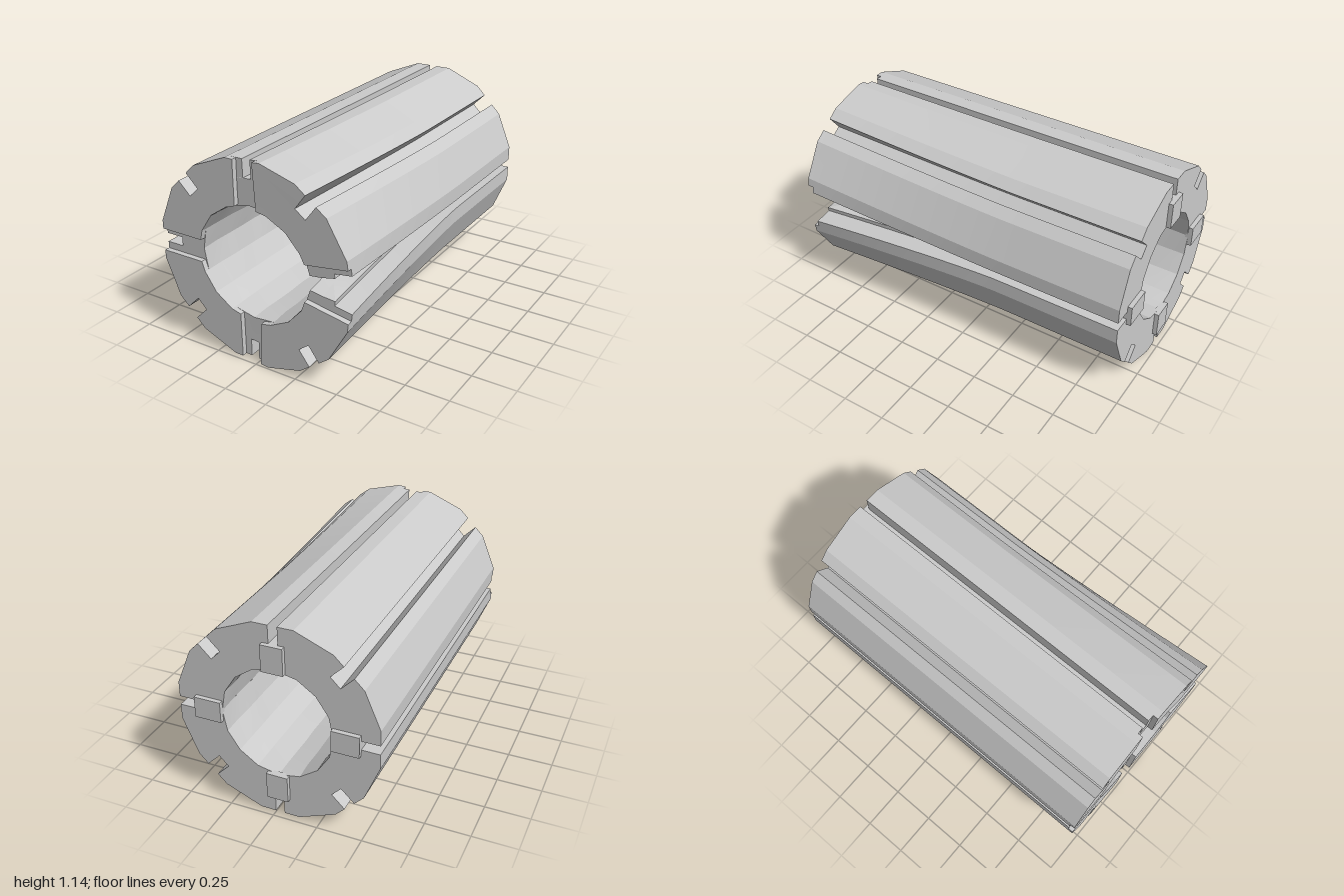
import * as THREE from 'three';
import { toCreasedNormals } from 'three/addons/utils/BufferGeometryUtils.js';

const CX = -0.03, CY = 0.57;             // axis of the sleeve
const R = 0.566, BORE = 0.31, FLOOR = 0.455; // outer corner, bore and groove floor radii
const FLAT = R * Math.cos(Math.PI / 16), EDGE = R * Math.sin(Math.PI / 16);
const BACK = -0.975, STEP = 0.957, FRONT = 0.987;
const E = 1e-4;                          // half width of the closed split
const S = Math.SQRT1_2;

const material = new THREE.MeshStandardMaterial({ color: 0xcccccc });
const polar = (r, deg) => [r * Math.cos(deg * Math.PI / 180), r * Math.sin(deg * Math.PI / 180)];
const quarterTurn = ([x, y], n) => { for (let i = 0; i < n; i++) [x, y] = [-y, x]; return [x, y]; };
const toShape = pts => new THREE.Shape(pts.map(p => new THREE.Vector2(...p)));

// outer outline of one quadrant, with the wide groove at 45 degrees
function quadrantOutline() {
  const onDiagonal = (r, off) => [(r - off) * S, (r + off) * S];
  const w = 0.037;
  return [
    [FLAT, EDGE], polar(R, 33.75),
    onDiagonal(FLAT, -w), onDiagonal(FLOOR, -w), onDiagonal(FLOOR, w), onDiagonal(FLAT, w),
    polar(R, 56.25), [EDGE, FLAT],
  ];
}

// whole section: grooved ring, split along +x
function ringShape() {
  const g = 0.025;
  const quadrant = [[FLOOR, g], [FLAT, g], ...quadrantOutline(), [g, FLAT], [g, FLOOR]];
  const pts = [[BORE, E], [0.38, E], [FLOOR, E]];
  for (let q = 0; q < 4; q++) pts.push(...quadrant.map(p => quarterTurn(p, q)));
  pts.push([FLOOR, -E], [0.38, -E], [BORE, -E]);
  for (let a = 337.5; a > 1; a -= 22.5) pts.push(polar(BORE, a));
  return toShape(pts);
}

// raised front land between two keyways
function landShape(q) {
  const k = 0.063, inner = Math.sqrt(BORE * BORE - k * k);
  const pts = [[inner, k], [FLAT, k], ...quadrantOutline(), [k, FLAT], [k, inner],
    polar(BORE, 67.5), polar(BORE, 45), polar(BORE, 22.5)];
  return toShape(pts.map(p => quarterTurn(p, q)));
}

// roughens the bore and spreads the split towards the front
function deform(x, y, z) {
  const side = Math.sign(y);
  const open = Math.pow(Math.max(0, (z + 0.25) / 1.237), 1.3);
  const r = Math.hypot(x, y), a = Math.atan2(y, x);
  const t = THREE.MathUtils.clamp((x + 0.05) / 0.6, 0, 1);
  let px = x, py = y;
  if (r < BORE + 0.005) {
    const k = 1 + 0.018 * Math.sin(3 * a + 9 * z) * Math.sin(5 * a - 14 * z);
    px *= k;
    py *= k;
  }
  if (Math.abs(y) < 2 * E && x > 0.3 && x < 0.4) py += 0.012 * Math.sin(17 * z) * open;
  px += (0.055 - 0.13 * Math.abs(y)) * Math.min(1, 2 * t) * open;
  py += side * 0.08 * Math.pow(t, 1.3) * open;
  return [px + CX, py + CY, z + 0.013 * t * open];
}

function extrudeSection(shape, z0, z1, steps) {
  const geo = new THREE.ExtrudeGeometry(shape, { depth: z1 - z0, steps, bevelEnabled: false });
  geo.translate(0, 0, z0);
  const pos = geo.attributes.position;
  for (let i = 0; i < pos.count; i++) {
    pos.setXYZ(i, ...deform(pos.getX(i), pos.getY(i), pos.getZ(i)));
  }
  return toCreasedNormals(geo, 0.2);
}

export function createModel() {
  const group = new THREE.Group();
  const add = (geo, name) => {
    const mesh = new THREE.Mesh(geo, material);
    mesh.name = name;
    group.add(mesh);
    return mesh;
  };

  // grooved sleeve
  add(extrudeSection(ringShape(), BACK, STEP, 18), 'splitSleeve');

  for (let q = 0; q < 4; q++) {
    // front lands, leaving four radial keyways
    add(extrudeSection(landShape(q), STEP, FRONT, 1), 'frontLand' + (q + 1));

    // rear locking tabs
    const tab = add(new THREE.BoxGeometry(0.15, 0.12, 0.04), 'rearTab' + (q + 1));
    const [x, y] = quarterTurn([0.38, 0], q);
    tab.position.set(CX + x, CY + y, -0.98);
    tab.rotation.z = q * Math.PI / 2;
  }
  return group;
}
